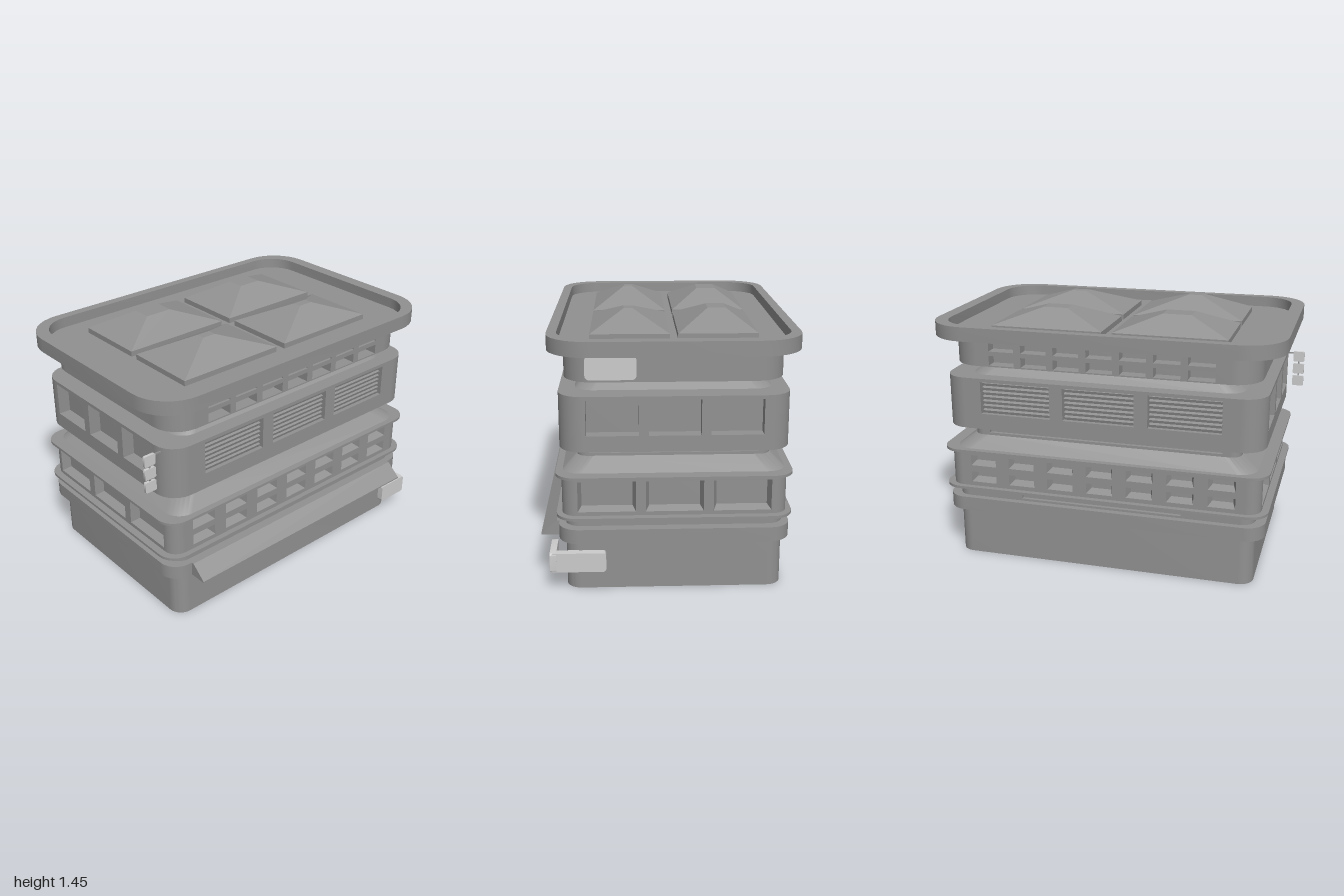
import * as THREE from 'three';
import { toCreasedNormals } from 'three/addons/utils/BufferGeometryUtils.js';

const BODY = 0x919191;
const grey = new THREE.MeshStandardMaterial({ color: BODY });
const facet = new THREE.MeshStandardMaterial({ color: BODY, flatShading: true });
const reveal = new THREE.MeshStandardMaterial({ color: BODY, flatShading: true, side: THREE.DoubleSide });
const pale = new THREE.MeshStandardMaterial({ color: 0xcccccc });

function add(parent, name, geo, mat, x = 0, y = 0, z = 0) {
  const m = new THREE.Mesh(geo, mat);
  m.name = name;
  m.position.set(x, y, z);
  parent.add(m);
  return m;
}

function roundRect(hx, hy, r, T = THREE.Shape) {
  const s = new T();
  s.moveTo(hx, r - hy);
  s.lineTo(hx, hy - r);
  s.absarc(hx - r, hy - r, r, 0, Math.PI / 2);
  s.absarc(r - hx, hy - r, r, Math.PI / 2, Math.PI);
  s.absarc(r - hx, r - hy, r, Math.PI, Math.PI * 1.5);
  s.absarc(hx - r, r - hy, r, Math.PI * 1.5, Math.PI * 2);
  return s;
}

const polygon = (T, points) => new T(points.map(q => new THREE.Vector2(...q)));

const extrude = (shape, depth, curveSegments = 6) => toCreasedNormals(
  new THREE.ExtrudeGeometry(shape, { depth, bevelEnabled: false, curveSegments }), 0.6);

// Rounded slab from y0 to y1; the top may shrink to topX, topZ
function slab(parent, name, y0, y1, hx, hz, r, topX = hx, topZ = hz) {
  const g = new THREE.ExtrudeGeometry(roundRect(hx, hz, r), { depth: y1 - y0, bevelEnabled: false, curveSegments: 6 });
  g.rotateX(-Math.PI / 2);
  const p = g.attributes.position;
  for (let i = 0; i < p.count; i++) {
    if (p.getY(i) > (y1 - y0) / 2) p.setXYZ(i, p.getX(i) * topX / hx, p.getY(i), p.getZ(i) * topZ / hz);
  }
  add(parent, name, toCreasedNormals(g, 0.6), grey, 0, y0, 0);
}

// Tapered sides of a window opening, running back from z = 0
function revealGeo(w, h, d, t) {
  const g = new THREE.BoxGeometry(w, h, d).translate(0, 0, -d / 2);
  g.setIndex(Array.from(g.index.array).slice(0, 24));
  const p = g.attributes.position;
  for (let i = 0; i < p.count; i++) {
    if (p.getZ(i) < -d / 2) p.setXY(i, p.getX(i) * (1 - 2 * t / w), p.getY(i) * (1 - 2 * t / h));
  }
  return g;
}

// Storey with recessed openings; windows are {x, y, w, h} on front/back and on the sides
function storey(parent, name, y0, y1, hx, hz, r, d, front, sides, opt = {}) {
  const group = new THREE.Group();
  group.name = name;
  parent.add(group);
  slab(group, 'core', y0, y1, hx - d, hz - d, Math.max(r - d, 0.01));
  for (let k = 0; k < 4; k++) {
    const side = new THREE.Group();
    side.name = 'facade';
    side.rotation.y = k * Math.PI / 2;
    group.add(side);
    const half = (k % 2 ? hz : hx) - r, dist = k % 2 ? hx : hz;
    const wall = polygon(THREE.Shape, [[-half, y0], [half, y0], [half, y1], [-half, y1]]);
    for (const { x, y, w, h } of k % 2 ? sides : front) {
      wall.holes.push(polygon(THREE.Path, [[-1, -1], [-1, 1], [1, 1], [1, -1]]
        .map(q => [x + q[0] * w / 2, y + q[1] * h / 2])));
      if (opt.taper) add(side, 'windowReveal', revealGeo(w, h, d, opt.taper), reveal, x, y, dist);
      if (opt.louvres && k % 2 === 0) {
        for (let i = 0; i < 7; i++) {
          const slat = add(side, 'louvre', new THREE.BoxGeometry(w - 0.01, 0.016, 0.024), grey,
            x, y + h * ((i + 0.5) / 7 - 0.5), dist - 0.03);
          slat.rotation.x = 0.3;
        }
      }
    }
    add(side, 'wall', extrude(wall, d), grey, 0, 0, dist - d);
    add(side, 'cornerPost', new THREE.CylinderGeometry(r, r, y1 - y0, 6, 1, false, 0, Math.PI / 2), grey,
      half, (y0 + y1) / 2, dist - r);
  }
}

// Evenly spaced windows in rows
function grid(n, step, rows, w, h) {
  const out = [];
  for (const y of rows) for (let i = 0; i < n; i++) out.push({ x: (i - (n - 1) / 2) * step, y, w, h });
  return out;
}

// Roof light: low kerb with a sloped cap ending in a small flat
function skylight(parent, x0, x1, z0, z1, fx0, fx1, fz0, fz1, top) {
  const w = x1 - x0, l = z1 - z0, y0 = 1.31, y1 = 1.35;
  const cx = (x0 + x1) / 2, cz = (z0 + z1) / 2;
  add(parent, 'skylightKerb', new THREE.BoxGeometry(w, y1 - y0, l), grey, cx, (y0 + y1) / 2, cz);
  const g = new THREE.BoxGeometry(w, top - y1, l);
  const p = g.attributes.position;
  for (let i = 0; i < p.count; i++) {
    if (p.getY(i) > 0) p.setXYZ(i, (p.getX(i) > 0 ? fx1 : fx0) - cx, p.getY(i), (p.getZ(i) > 0 ? fz1 : fz0) - cz);
  }
  add(parent, 'skylightCap', g, facet, cx, (y1 + top) / 2, cz);
}

export function createModel() {
  const root = new THREE.Group();
  root.name = 'building';
  const body = new THREE.Group();
  body.name = 'body';
  body.position.set(0.007, 0, -0.03);
  root.add(body);

  // Ground floor, band and ledges
  slab(body, 'groundFloor', 0, 0.28, 0.87, 0.58, 0.08);
  slab(body, 'groundBand', 0.28, 0.36, 0.925, 0.615, 0.11);
  storey(body, 'groundNeck', 0.36, 0.415, 0.87, 0.58, 0.08, 0.02, grid(1, 0, [0.386], 0.93, 0.026), []);
  slab(body, 'lowerLedge', 0.415, 0.43, 0.94, 0.625, 0.11);

  // Second storey, sloped shoulder and neck
  storey(body, 'secondStorey', 0.43, 0.64, 0.9, 0.595, 0.08, 0.05,
    grid(7, 0.23, [0.485, 0.585], 0.152, 0.062), grid(3, 0.357, [0.535], 0.305, 0.168), { taper: 0.018 });
  slab(body, 'upperLedge', 0.64, 0.655, 0.94, 0.625, 0.11);
  slab(body, 'lowerShoulder', 0.655, 0.72, 0.87, 0.59, 0.1, 0.775, 0.515);
  storey(body, 'neck', 0.72, 0.785, 0.775, 0.515, 0.06, 0.02,
    grid(1, 0, [0.753], 1.35, 0.036), grid(1, 0, [0.753], 0.9, 0.036));

  // Third storey with louvred windows and shoulder
  storey(body, 'thirdStorey', 0.785, 1.08, 0.91, 0.603, 0.13, 0.07,
    grid(3, 0.48, [0.968], 0.405, 0.185), grid(3, 0.322, [0.966], 0.272, 0.19), { louvres: true });
  slab(body, 'upperShoulder', 1.08, 1.145, 0.78, 0.52, 0.1, 0.69, 0.455);

  // Top storey
  storey(body, 'topStorey', 1.145, 1.3, 0.87, 0.575, 0.16, 0.07,
    grid(7, 0.187, [1.18, 1.26], 0.147, 0.055), []);

  // Roof tray and skylights
  slab(body, 'roofDeck', 1.301, 1.32, 0.95, 0.62, 0.21);
  const rim = roundRect(0.992, 0.657, 0.23);
  rim.holes.push(roundRect(0.917, 0.605, 0.18, THREE.Path));
  add(body, 'roofRim', extrude(rim, 0.08, 4).rotateX(-Math.PI / 2), grey, 0, 1.3, 0);
  skylight(root, -0.67, -0.03, -0.48, -0.056, -0.44, -0.28, -0.33, -0.22, 1.44);
  skylight(root, 0.03, 0.67, -0.48, -0.056, 0.27, 0.41, -0.33, -0.23, 1.44);
  skylight(root, -0.67, -0.03, -0.012, 0.41, -0.4, -0.32, 0.18, 0.23, 1.45);
  skylight(root, 0.03, 0.67, -0.012, 0.41, 0.32, 0.41, 0.18, 0.23, 1.44);

  // Sloped awning along the front
  const wedge = polygon(THREE.Shape, [[-0.57, 0.28], [-0.685, 0.28], [-0.685, 0.288], [-0.6, 0.36], [-0.57, 0.36]]);
  const awning = add(root, 'awning', extrude(wedge, 1.59), grey, -0.79, 0, 0);
  awning.rotation.y = Math.PI / 2;

  // Two plates meeting at the front corner, and one on the top storey's side
  add(root, 'cornerFrontPlate', extrude(roundRect(0.1, 0.054, 0.012), 0.035), pale, 0.82, 0.166, 0.6);
  const sidePlates = [
    ['cornerSidePlate', 0.148, 0.054, 0.018, 0.045, 0.874, 0.166, 0.483],
    ['upperSidePlate', 0.132, 0.062, 0.025, 0.02, 0.866, 1.22, 0.297],
  ];
  for (const [name, hw, hh, r, depth, x, y, z] of sidePlates) {
    add(root, name, extrude(roundRect(hw, hh, r), depth), pale, x, y, z).rotation.y = Math.PI / 2;
  }

  // Hanging signs beside the third storey
  for (let i = 0; i < 3; i++) {
    add(root, 'hangingSign', extrude(roundRect(0.034, 0.031, 0.008), 0.016), pale, -0.966, 0.88 + i * 0.077, 0.478);
  }
  add(root, 'signLink', new THREE.BoxGeometry(0.008, 0.16, 0.006), grey, -0.966, 0.957, 0.486);
  add(root, 'signArm', new THREE.BoxGeometry(0.1, 0.008, 0.008), grey, -0.92, 1.055, 0.486);
  return root;
}
